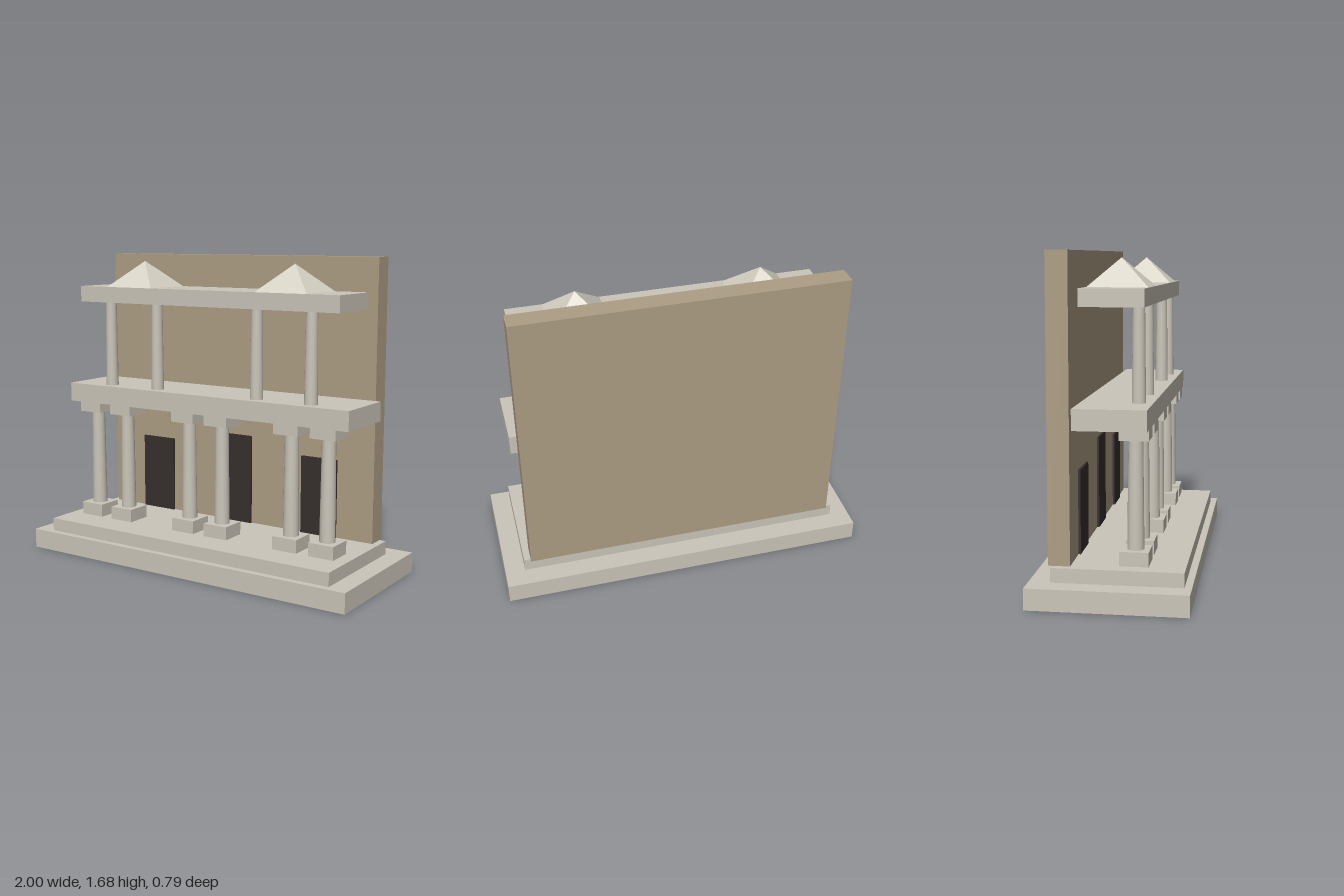
import * as THREE from 'three';

const mat = (color) => new THREE.MeshStandardMaterial({ color });

export function createModel() {
  const model = new THREE.Group();
  const stone = mat(0xcac5b9), plaster = mat(0xad9d84), dark = mat(0x362f2d), pale = mat(0xd6d2c5);

  const add = (name, geometry, material, x, y, z) => {
    const mesh = new THREE.Mesh(geometry, material);
    mesh.name = name;
    mesh.position.set(x, y, z);
    model.add(mesh);
  };
  // Box given by its centre x, vertical range and depth range
  const slab = (name, material, x, width, y0, y1, z0, z1) =>
    add(name, new THREE.BoxGeometry(width, y1 - y0, z1 - z0), material, x, (y0 + y1) / 2, (z0 + z1) / 2);
  // Tapered round shaft
  const shaft = (name, x, y0, y1, z, rTop, rBottom) =>
    add(name, new THREE.CylinderGeometry(rTop, rBottom, y1 - y0, 16), stone, x, (y0 + y1) / 2, z);

  // Stepped platform and back wall
  slab('base', stone, 0, 2, 0, 0.107, -0.393, 0.393);
  slab('step', stone, 0, 1.786, 0.107, 0.179, -0.286, 0.357);
  slab('backWall', plaster, 0, 1.714, 0.179, 1.679, -0.304, -0.196);

  // Doorways
  slab('centreDoor', dark, 0, 0.214, 0.179, 0.679, -0.2, -0.184);
  for (const s of [-1, 1]) slab('sideDoor', dark, s * 0.536, 0.214, 0.179, 0.607, -0.2, -0.184);

  // Lower storey: three pairs of columns with plinths and capitals
  const zCol = 0.107;
  for (const pair of [-0.643, 0, 0.643]) {
    for (const s of [-1, 1]) {
      const x = pair + s * 0.107;
      slab('plinth', stone, x, 0.143, 0.179, 0.25, zCol - 0.0715, zCol + 0.0715);
      shaft('lowerColumn', x, 0.25, 0.788, zCol, 0.036, 0.042);
      slab('capital', stone, x, 0.143, 0.788, 0.842, zCol - 0.0715, zCol + 0.0715);
    }
  }
  slab('entablature', stone, 0, 1.786, 0.842, 0.946, -0.179, 0.179);

  // Upper storey: columns, roof slab and pyramid caps
  for (const x of [-0.643, -0.321, 0.321, 0.643]) shaft('upperColumn', x, 0.946, 1.415, zCol, 0.03, 0.035);
  slab('roofSlab', stone, 0, 1.643, 1.415, 1.502, -0.157, 0.157);
  for (const s of [-1, 1]) {
    const pyramid = new THREE.ConeGeometry(0.152 * Math.SQRT2, 0.143, 4).toNonIndexed();
    pyramid.rotateY(Math.PI / 4);
    pyramid.computeVertexNormals();
    add('pyramidRoof', pyramid, pale, s * 0.482, 1.573, 0);
  }
  return model;
}
